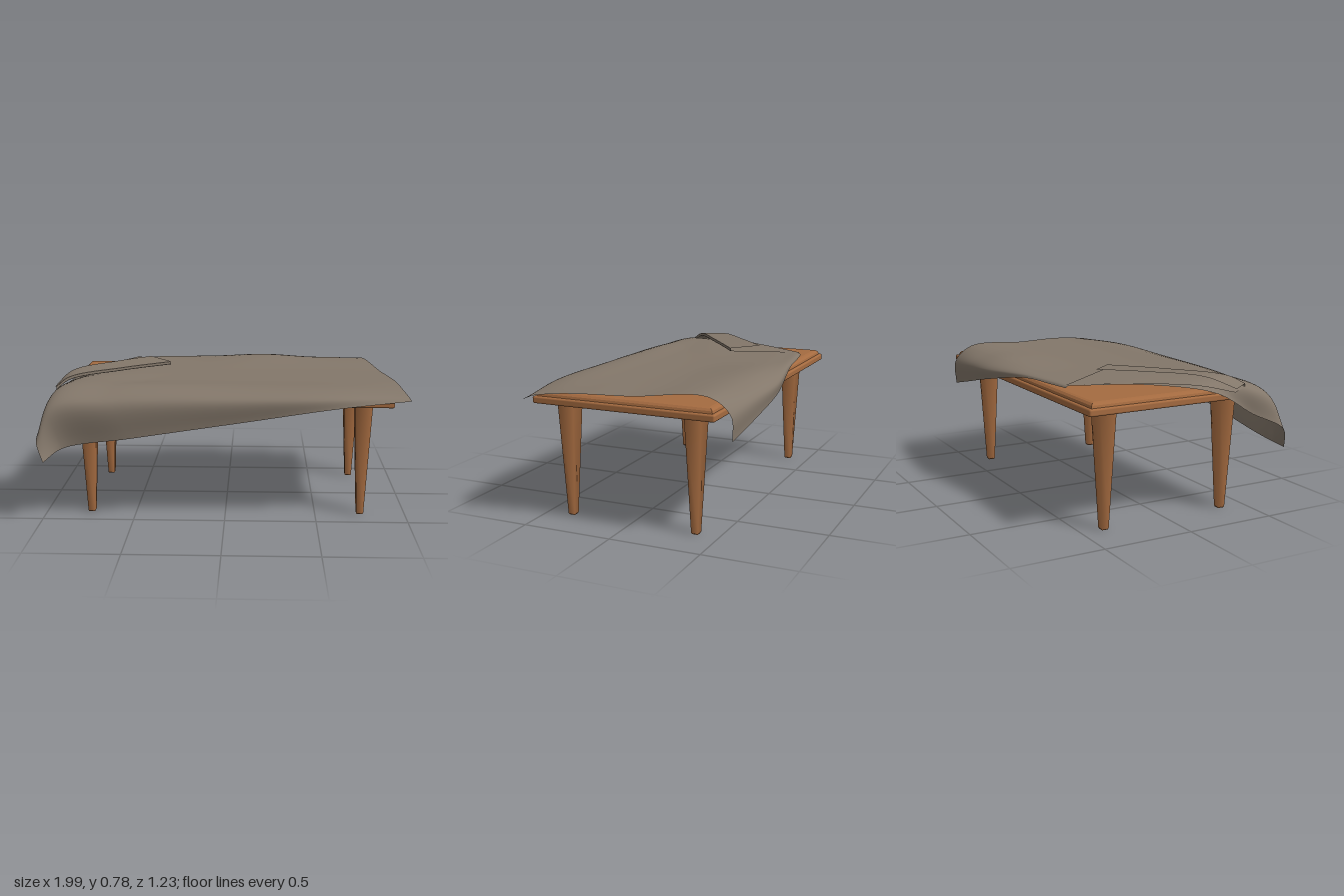
import * as THREE from 'three';
import { RoundedBoxGeometry } from 'three/addons/geometries/RoundedBoxGeometry.js';

const wood = new THREE.MeshStandardMaterial({ color: 0xa56b40 });
wood.name = 'warm wood';
const cloth = new THREE.MeshStandardMaterial({ color: 0x83776a, side: THREE.DoubleSide });
cloth.name = 'grey brown cloth';

function add(group, name, geometry, material) {
  const mesh = new THREE.Mesh(geometry, material);
  mesh.name = name;
  group.add(mesh);
  return mesh;
}

// Sheet stretched over rails; smooth across them, or straight for sharp folds
function sheet(rails, along, across, smooth) {
  const curves = rails.map((r) => new THREE.CatmullRomCurve3(r.map((p) => new THREE.Vector3(...p))));
  const geometry = new THREE.PlaneGeometry(1, 1, along, across);
  const pos = geometry.attributes.position;
  for (let i = 0; i <= along; i++) {
    const pts = curves.map((c) => c.getPoint(i / along));
    const section = smooth ? new THREE.CatmullRomCurve3(pts) : null;
    for (let j = 0; j <= across; j++) {
      const s = (j / across) * (pts.length - 1);
      const k = Math.min(Math.floor(s), pts.length - 2);
      const p = smooth ? section.getPoint(j / across) : pts[k].clone().lerp(pts[k + 1], s - k);
      pos.setXYZ(j * (along + 1) + i, p.x, p.y, p.z);
    }
  }
  geometry.computeVertexNormals();
  return geometry;
}

// Rectangular panel with a bevelled rim
function panel(w, d, bevel, straight) {
  const x = w / 2 - bevel, y = d / 2 - bevel;
  const shape = new THREE.Shape([[-x, -y], [x, -y], [x, y], [-x, y]].map((p) => new THREE.Vector2(...p)));
  const geometry = new THREE.ExtrudeGeometry(shape, {
    depth: straight, bevelThickness: bevel, bevelSize: bevel, bevelSegments: 3,
  });
  return geometry.rotateX(-Math.PI / 2);
}

export function createModel() {
  const model = new THREE.Group();
  model.name = 'coffee table with draped cloth';

  // Table top: slab with a raised, bevelled panel
  const table = new THREE.Group();
  table.name = 'table';
  model.add(table);
  add(table, 'topSlab', new RoundedBoxGeometry(1.805, 0.038, 1.02, 2, 0.01), wood).position.set(0, 0.654, -0.02);
  add(table, 'topPanel', panel(1.77, 0.985, 0.028, 0.004), wood).position.set(0, 0.668, -0.02);

  // Four square tapered legs
  const profile = [[0, 0], [0.023, 0], [0.028, 0.008], [0.068, 0.64]].map((p) => new THREE.Vector2(...p));
  const legGeometry = new THREE.LatheGeometry(profile, 4, Math.PI / 4);
  for (const x of [-0.75, 0.75]) {
    for (const z of [-0.37, 0.355]) {
      add(table, (z > 0 ? 'front' : 'back') + (x > 0 ? 'Left' : 'Right') + 'Leg', legGeometry, wood).position.set(x, 0, z);
    }
  }

  // Draped cloth: rails run from the -x end to the +x end, back hem to front hem
  const drape = [
    [[-0.57, 0.715, -0.49], [-0.45, 0.715, -0.51], [-0.2, 0.71, -0.545], [0.2, 0.64, -0.605], [0.5, 0.575, -0.595], [0.78, 0.515, -0.575]],
    [[-0.575, 0.725, -0.48], [-0.45, 0.727, -0.5], [-0.2, 0.725, -0.535], [0.2, 0.7, -0.605], [0.5, 0.68, -0.59], [0.795, 0.65, -0.57]],
    [[-0.61, 0.728, -0.41], [-0.5, 0.73, -0.42], [-0.2, 0.733, -0.45], [0.2, 0.75, -0.49], [0.5, 0.738, -0.47], [0.81, 0.735, -0.46]],
    [[-0.77, 0.728, -0.1], [-0.6, 0.728, -0.1], [-0.2, 0.726, -0.1], [0.2, 0.724, -0.1], [0.6, 0.724, -0.1], [0.895, 0.722, -0.08]],
    [[-0.915, 0.68, 0.2], [-0.84, 0.725, 0.2], [-0.4, 0.724, 0.2], [0.2, 0.722, 0.2], [0.6, 0.722, 0.2], [0.945, 0.72, 0.2]],
    [[-0.95, 0.56, 0.4], [-0.93, 0.69, 0.4], [-0.6, 0.722, 0.42], [0.1, 0.722, 0.44], [0.6, 0.72, 0.44], [0.965, 0.705, 0.38]],
    [[-1, 0.47, 0.57], [-0.93, 0.62, 0.54], [-0.6, 0.66, 0.535], [0.1, 0.68, 0.545], [0.6, 0.69, 0.54], [0.98, 0.69, 0.46]],
    [[-0.96, 0.355, 0.615], [-0.87, 0.41, 0.53], [-0.5, 0.47, 0.535], [0.1, 0.565, 0.545], [0.6, 0.645, 0.555], [0.99, 0.675, 0.49]],
  ];
  add(model, 'drapedCloth', sheet(drape, 60, 56, true), cloth);

  // Corner folded back over the cloth, with its edge turned over once more
  const edge = [[-0.34, 0.75, -0.12], [-0.6, 0.752, 0.09], [-0.86, 0.74, 0.3], [-0.92, 0.7, 0.37]];
  const flap = [
    [[-0.57, 0.73, -0.49], [-0.72, 0.735, -0.2], [-0.88, 0.725, 0.1], [-0.935, 0.68, 0.3]],
    edge,
    edge.map(([x, y, z]) => [x, y + 0.018, z]),
    [[-0.47, 0.774, -0.26], [-0.66, 0.776, -0.07], [-0.87, 0.765, 0.15], [-0.945, 0.7, 0.3]],
  ];
  add(model, 'foldedCorner', sheet(flap, 24, 18, false), cloth);

  return model;
}
